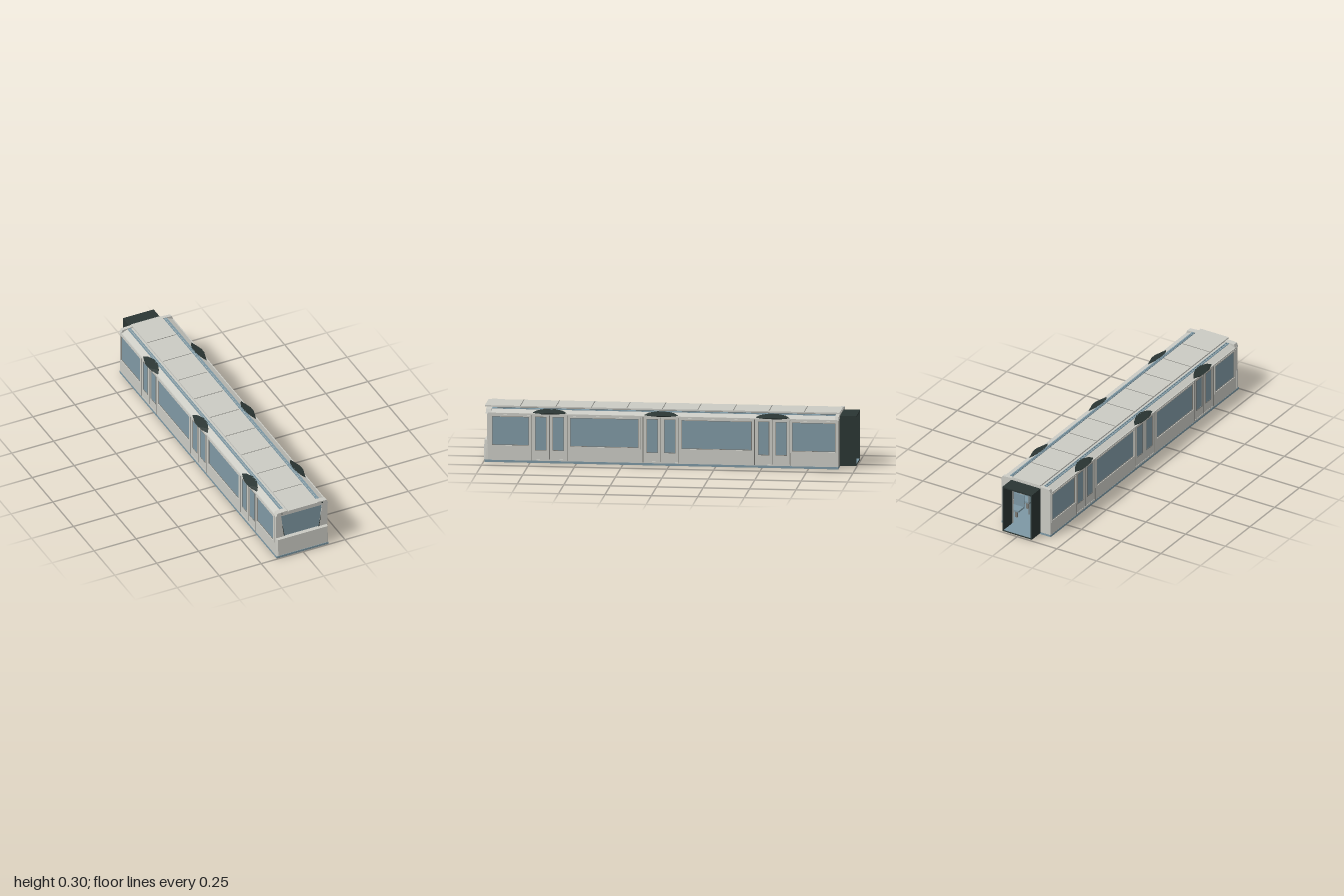
import * as THREE from 'three';
import { ConvexGeometry } from 'three/addons/geometries/ConvexGeometry.js';

const mat = (name, color, side = THREE.FrontSide) => {
  const m = new THREE.MeshStandardMaterial({ color, side, flatShading: true });
  m.name = name;
  return m;
};

export function createModel() {
  const shell = mat('shell grey', 0xcbcbc4);
  const glass = mat('glass blue', 0x8099a4, THREE.DoubleSide);
  const dark = mat('dark rubber', 0x2a3533);
  const trim = mat('trim grey', 0x7b7b76);
  const blue = mat('floor blue', 0x7d98a4);
  const car = new THREE.Group();
  car.name = 'railCar';

  const add = (name, geo, material, parent = car) => {
    const mesh = new THREE.Mesh(geo, material);
    mesh.name = name;
    parent.add(mesh);
    return mesh;
  };
  // Box given by its limits
  const box = (name, x0, x1, y0, y1, z0, z1, material) =>
    add(name, new THREE.BoxGeometry(x1 - x0, y1 - y0, z1 - z0)
      .translate((x0 + x1) / 2, (y0 + y1) / 2, (z0 + z1) / 2), material);
  const poly = pts => new THREE.Shape(pts.map(p => new THREE.Vector2(...p)));
  const rect = (a, b, c, d) => poly([[a, c], [b, c], [b, d], [a, d]]);
  const withHoles = (shape, holes) => { shape.holes.push(...holes); return shape; };
  const extrude = (shape, depth) => new THREE.ExtrudeGeometry(shape, { depth, bevelEnabled: false });
  // Extrude a (z, y) outline between two distances from the centre, on both sides
  const sides = (name, shape, x0, x1, material) => {
    for (const [label, end] of [['right', -x0], ['left', x1]])
      add(label + name, extrude(shape, x1 - x0).rotateY(-Math.PI / 2).translate(end, 0, 0), material);
  };
  const bothBoxes = (name, x0, x1, y0, y1, z0, z1, material) => {
    box('left' + name, x0, x1, y0, y1, z0, z1, material);
    box('right' + name, -x1, -x0, y0, y1, z0, z1, material);
  };

  const doors = [0.645, 0.045, -0.555];
  const windows = [[0.755, 0.955], [0.165, 0.535], [-0.445, -0.065], [-0.895, -0.66]];

  // Floor slab
  box('floor', -0.155, 0.155, 0, 0.012, -0.91, 0.995, blue);

  // Side walls with window and door openings
  const openings = [
    ...windows.map(([a, b]) => rect(a, b, 0.093, 0.25)),
    ...doors.map(c => rect(c - 0.095, c + 0.095, 0.02, 0.261)),
  ];
  sides('Wall', withHoles(rect(-0.91, 0.982, 0.012, 0.265), openings), 0.144, 0.154, shell);

  // Windows with raised frames and narrow gaskets
  for (const [a, b] of windows) {
    sides('WindowFrame', withHoles(rect(a - 0.009, b + 0.009, 0.085, 0.259),
      [rect(a, b, 0.093, 0.252)]), 0.153, 0.156, shell);
    sides('WindowGasket', withHoles(rect(a, b, 0.093, 0.25),
      [rect(a + 0.004, b - 0.004, 0.096, 0.247)]), 0.149, 0.152, trim);
    bothBoxes('WindowGlass', 0.147, 0.150, 0.093, 0.25, a, b, glass);
  }

  // Double doors: recessed leaves, seams and overhead door covers
  for (const c of doors) {
    for (const s of [-1, 1]) {
      const m = c + s * 0.0475;
      sides('DoorLeaf', withHoles(rect(m - 0.046, m + 0.046, 0.02, 0.261),
        [rect(m - 0.029, m + 0.029, 0.07, 0.25)]), 0.146, 0.152, shell);
      sides('DoorGasket', withHoles(rect(m - 0.031, m + 0.031, 0.068, 0.252),
        [rect(m - 0.028, m + 0.028, 0.071, 0.249)]), 0.151, 0.1525, trim);
      bothBoxes('DoorGlass', 0.147, 0.150, 0.07, 0.25, m - 0.029, m + 0.029, glass);
      bothBoxes('DoorEdge', 0.152, 0.1548, 0.014, 0.262, c + s * 0.096 - 0.0015, c + s * 0.096 + 0.0015, trim);

      const pts = [];
      for (const e of [-1, 1]) for (const [x, y, z] of [
        [0.166, 0.273, 0.018], [0.15, 0.262, 0.075], [0.145, 0.272, 0.092],
        [0.13, 0.282, 0.07], [0.113, 0.288, 0.025], [0.125, 0.266, 0.06],
      ]) pts.push(new THREE.Vector3(s * x, y, c + e * z));
      add(s > 0 ? 'leftDoorCover' : 'rightDoorCover', new ConvexGeometry(pts), dark);
    }
    bothBoxes('DoorSeam', 0.148, 0.1522, 0.02, 0.261, c - 0.0015, c + 0.0015, trim);
  }

  // Roof with sloping shoulders
  const roof = poly([[-0.154, 0.262], [0.154, 0.262], [0.152, 0.268], [0.118, 0.284],
    [-0.118, 0.284], [-0.152, 0.268]]);
  add('roof', extrude(roof, 1.885).translate(0, 0, -0.91), shell);
  const cap = poly([[-0.156, 0.264], [0.156, 0.264], [0.147, 0.287], [0.1, 0.29],
    [-0.1, 0.29], [-0.147, 0.287]]);
  add('frontRoofCap', extrude(cap, 0.03).translate(0, 0, 0.958), shell);
  add('rearRoofCap', extrude(cap, 0.02).translate(0, 0, -0.912), shell);
  bothBoxes('RoofRail', 0.099, 0.104, 0.283, 0.288, -0.905, 0.965, blue);
  bothBoxes('RoofStripe', 0.108, 0.117, 0.283, 0.287, -0.905, 0.965, blue);
  bothBoxes('Gutter', 0.149, 0.156, 0.262, 0.269, -0.905, 0.975, shell);

  // Roof panels and their seams
  const step = 0.191;
  for (let i = 0; i < 10; i++) {
    const z = -0.91 + i * step;
    box('roofPanel', -0.088, 0.088, 0.288, 0.296, z, z + step, shell);
    if (i) box('roofSeam', -0.086, 0.086, 0.294, 0.2964, z - 0.002, z + 0.002, trim);
  }
  box('roofPanelBed', -0.084, 0.084, 0.283, 0.289, -0.905, 0.985, trim);

  // Front wall, windscreen and projecting lower nose
  const screen = poly([[-0.103, 0.124], [0.103, 0.124], [0.113, 0.19], [0.123, 0.264], [-0.123, 0.264], [-0.113, 0.19]]);
  add('frontWall', extrude(withHoles(rect(-0.153, 0.153, 0.012, 0.266), [screen]), 0.01).translate(0, 0, 0.972), shell);
  add('windscreen', extrude(screen, 0.003).translate(0, 0, 0.975), glass);
  for (const s of [-1, 1]) {
    const strip = [[0.101, 0.124], [0.105, 0.124], [0.115, 0.195], [0.1135, 0.195]].map(([x, y]) => [s * x, y]);
    add('windscreenTrim', extrude(poly(strip), 0.002).translate(0, 0, 0.981), dark);
    box('markerLamp', s * 0.12 - 0.003, s * 0.12 + 0.003, 0.276, 0.282, 0.986, 0.9895, dark);
  }
  const nose = [];
  for (const s of [-1, 1]) for (const [x, y, z] of [
    [0.155, 0.012, 0.975], [0.155, 0.124, 0.975], [0.15, 0.124, 0.985],
    [0.148, 0.119, 0.996], [0.147, 0.018, 0.999], [0.152, 0.012, 0.992],
  ]) nose.push(new THREE.Vector3(s * x, y, z));
  add('nosePanel', new ConvexGeometry(nose), shell);

  // Rear wall with passage, and the open gangway
  add('rearWall', extrude(withHoles(rect(-0.154, 0.154, 0.012, 0.266),
    [rect(-0.084, 0.084, 0.014, 0.26)]), 0.01).translate(0, 0, -0.91), shell);
  add('gangway', extrude(withHoles(rect(-0.092, 0.092, 0.008, 0.28),
    [rect(-0.085, 0.085, 0.014, 0.272)]), 0.092).translate(0, 0, -1), dark);
  box('gangwayFloor', -0.085, 0.085, 0.012, 0.016, -0.998, -0.9, blue);

  // Passenger seats and grab poles
  for (const [a, b] of windows.slice(1)) {
    for (let z = a + 0.06; z < b - 0.03; z += 0.11) {
      bothBoxes('SeatBase', 0.1, 0.112, 0.012, 0.06, z - 0.006, z + 0.006, trim);
      bothBoxes('SeatCushion', 0.075, 0.138, 0.06, 0.07, z - 0.03, z + 0.03, blue);
      bothBoxes('SeatBack', 0.075, 0.138, 0.07, 0.14, z + 0.022, z + 0.03, blue);
    }
    for (const s of [-1, 1])
      add('grabPole', new THREE.CylinderGeometry(0.003, 0.003, 0.25, 8)
        .translate(s * 0.065, 0.137, (a + b) / 2), trim);
  }
  return car;
}
